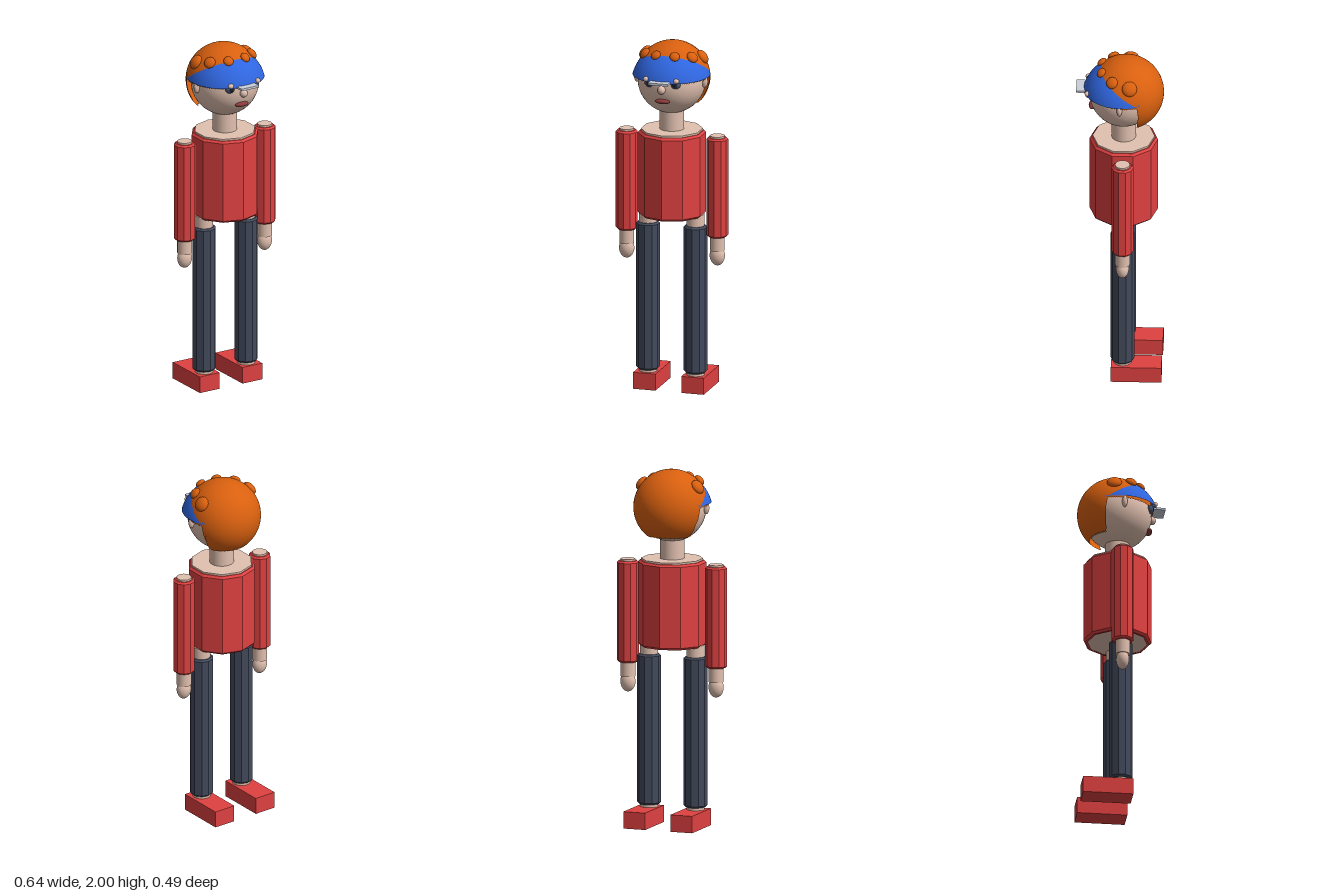
import * as THREE from 'three';

const mat = (name, color, extra = {}) => {
  const m = new THREE.MeshStandardMaterial({ color, ...extra });
  m.name = name;
  return m;
};

export function createModel() {
  const group = new THREE.Group();
  const open = { side: THREE.DoubleSide };
  const flat = { flatShading: true };
  const skin = mat('skin', 0xe2c1b0);
  const red = mat('red cloth', 0xe04141, { ...open, ...flat });
  const denim = mat('dark trousers', 0x434a5c, { ...open, ...flat });
  const orange = mat('orange hair', 0xd9600f, open);
  const blue = mat('blue cap', 0x2f66e0, open);
  const pale = mat('pale grey visor', 0xcbd0dc);
  const iris = mat('eye grey', 0x4c5870);
  const dark = mat('pupil dark', 0x1c2230);
  const lip = mat('lip', 0x8b3a3a);

  const add = (name, geo, material, x = 0, y = 0, z = 0) => {
    const m = new THREE.Mesh(geo, material);
    m.name = name;
    m.position.set(x, y, z);
    group.add(m);
    return m;
  };
  const ball = (name, material, pos, scale) => {
    const m = add(name, new THREE.SphereGeometry(1, 24, 16), material, ...pos);
    m.scale.set(...scale);
    return m;
  };
  // upright limb between two heights
  const post = (name, material, r, y0, y1, x, z, sides = 20) =>
    add(name, new THREE.CylinderGeometry(r, r, y1 - y0, sides), material, x, (y0 + y1) / 2, z);
  // ten-sided garment tube with small bevels, turned in at both ends
  const garment = (name, material, r, y0, y1, x, z, bevel, inner) => {
    const pts = [[inner, y0], [r - bevel, y0], [r, y0 + bevel], [r, y1 - bevel], [r - bevel, y1], [inner, y1]];
    return add(name, new THREE.LatheGeometry(pts.map(p => new THREE.Vector2(...p)), 10), material, x, 0, z);
  };

  // Torso and neck
  post('torso', skin, 0.172, 1.015, 1.5, 0, -0.02, 10);
  garment('shirt', red, 0.19, 1.01, 1.49, 0, -0.02, 0.012, 0.165);
  post('neck', skin, 0.068, 1.48, 1.64, 0, -0.02, 24);

  // Arms and legs
  for (const s of [1, -1]) {
    post('arm', skin, 0.041, 0.82, 1.48, s * 0.263, -0.022);
    garment('sleeve', red, 0.061, 0.9, 1.47, s * 0.263, -0.022, 0.01, 0.038);
    ball('hand', skin, [s * 0.263, 0.79, -0.022], [0.043, 0.057, 0.036]);
    post('leg', skin, 0.05, 0.09, 1.02, s * 0.138, -0.018);
    garment('trouserLeg', denim, 0.066, 0.11, 0.955, s * 0.138, -0.018, 0.01, 0.045);
    add('shoe', new THREE.BoxGeometry(0.13, 0.095, 0.28), red, s * 0.14, 0.0475, -0.095);
  }

  // Head and face
  add('head', new THREE.SphereGeometry(0.19, 40, 28), skin, 0, 1.785, -0.02);
  ball('nose', skin, [0, 1.77, 0.173], [0.022, 0.024, 0.022]);
  ball('mouth', lip, [0, 1.7, 0.154], [0.042, 0.014, 0.02]);
  for (const s of [1, -1]) {
    ball('ear', skin, [s * 0.195, 1.79, -0.002], [0.019, 0.035, 0.015]);
    ball('eye', iris, [s * 0.075, 1.803, 0.15], [0.029, 0.026, 0.022]);
    ball('pupil', dark, [s * 0.075, 1.803, 0.163], [0.016, 0.016, 0.013]);
    ball('browBump', skin, [s * 0.088, 1.829, 0.18], [0.016, 0.014, 0.014]);
  }

  // Hair shell: short at the front, reaching down the nape at the back
  const R = 0.21, hair = new THREE.SphereGeometry(R, 120, 40);
  const p = hair.attributes.position, uv = hair.attributes.uv, n = hair.attributes.normal;
  for (let i = 0; i < p.count; i++) {
    const phi = (i % 121) / 120 * Math.PI * 2, t = Math.floor(i / 121) / 40;
    const back = THREE.MathUtils.smoothstep(-Math.sin(phi), 0.31, 0.44);
    const a = t * THREE.MathUtils.degToRad(86.5 + 53.5 * back);
    const d = [-Math.cos(phi) * Math.sin(a), Math.cos(a), Math.sin(phi) * Math.sin(a)];
    n.setXYZ(i, ...d);
    p.setXYZ(i, d[0] * R, d[1] * R, d[2] * R);
  }
  add('hair', hair, orange, 0, 1.79, -0.033);

  // Cap dome emerging from the hair, with a small visor
  add('cap', new THREE.SphereGeometry(0.223, 48, 24, 0, Math.PI * 2, 0, 1.317), blue, 0, 1.759, -0.013);
  add('visor', new THREE.BoxGeometry(0.114, 0.012, 0.085), pale, 0, 1.82, 0.2);

  // Curls lying on the hair, flattened along its surface normal
  const up = new THREE.Vector3(0, 1, 0);
  for (const [x, y, z, r] of [[0.166, 1.915, -0.057, 0.042], [0.138, 1.936, 0.041, 0.033], [0.055, 1.948, 0.103, 0.028]])
    for (const s of [1, -1]) {
      const c = ball('curl', orange, [s * x, y, z], [r, r * 0.6, r]);
      c.quaternion.setFromUnitVectors(up, new THREE.Vector3(s * x, y - 1.79, z + 0.033).normalize());
    }

  return group;
}
